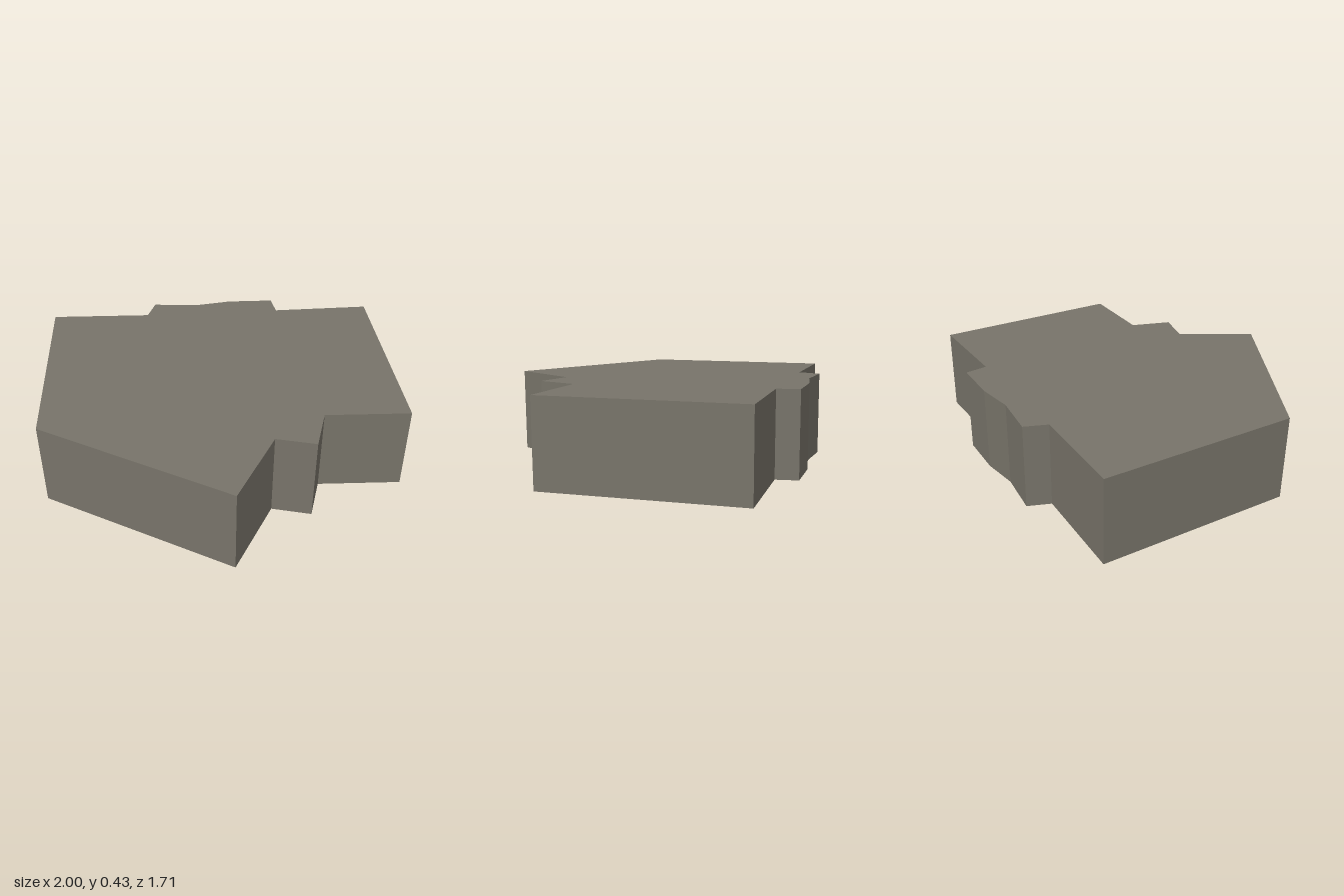
import * as THREE from 'three';

const HEIGHT = 0.43;

// Building footprint as [x, z], counter-clockwise seen from above
const footprint = [
  [-0.5, 0.855], [0.5, 0.855], [0.5, 0.45], [0.685, 0.4], [0.64, 0.19],
  [1, 0], [0.5, -0.855], [0.07, -0.6], [0, -0.69], [-0.21, -0.575],
  [-0.36, -0.455], [-0.57, -0.36], [-0.55, -0.24], [-1, 0],
];

// One flat-shaded quad per footprint edge
function wallGeometry(points, height) {
  const positions = [];
  points.forEach(([ax, az], i) => {
    const [bx, bz] = points[(i + 1) % points.length];
    positions.push(ax, 0, az, bx, 0, bz, bx, height, bz);
    positions.push(ax, 0, az, bx, height, bz, ax, height, az);
  });
  const geometry = new THREE.BufferGeometry();
  geometry.setAttribute('position', new THREE.Float32BufferAttribute(positions, 3));
  geometry.computeVertexNormals();
  return geometry;
}

export function createModel() {
  const group = new THREE.Group();
  group.name = 'building';

  const stone = new THREE.MeshStandardMaterial({ color: 0x78746a, side: THREE.DoubleSide });
  stone.name = 'warm grey stone';

  // Outer walls, open at the bottom
  const walls = new THREE.Mesh(wallGeometry(footprint, HEIGHT), stone);
  walls.name = 'walls';

  // Flat roof
  const outline = new THREE.Shape(footprint.map(([x, z]) => new THREE.Vector2(x, -z)));
  const roofGeometry = new THREE.ShapeGeometry(outline);
  roofGeometry.rotateX(-Math.PI / 2);
  roofGeometry.translate(0, HEIGHT, 0);
  const roof = new THREE.Mesh(roofGeometry, stone);
  roof.name = 'roof';

  group.add(walls, roof);
  return group;
}
